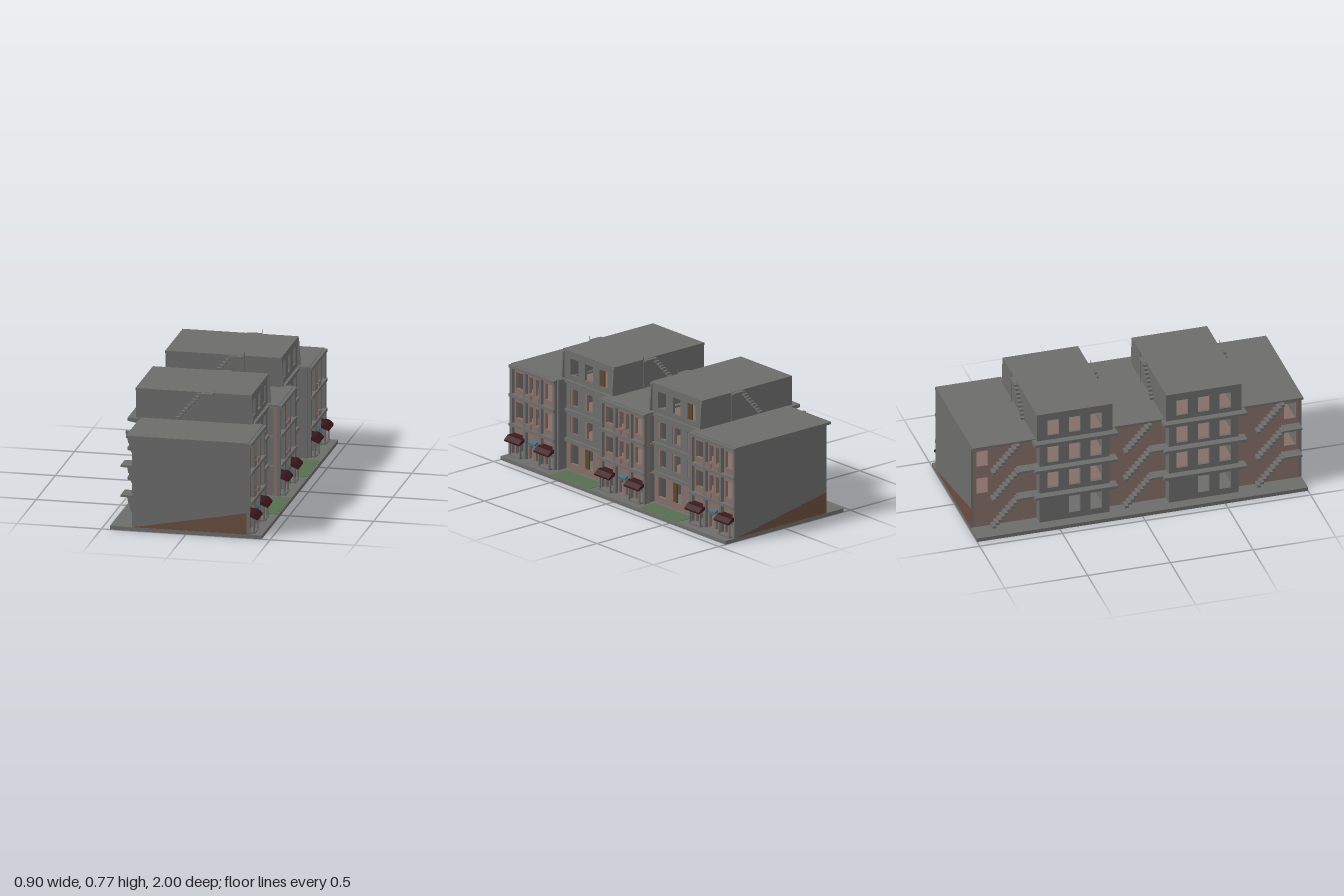
import * as THREE from 'three';

const mat = (color) => new THREE.MeshStandardMaterial({ color, side: THREE.DoubleSide });
const GREY = mat(0x6c6c6b), BROWN = mat(0x846e67), RED = mat(0x3a171c);
const GREEN = mat(0x566f4e), BLUE = mat(0x42687a), OCHRE = mat(0x5c4828), RUST = mat(0x684c3e);

const FLOORS = [0.205, 0.384, 0.56];
const WINGS = [-0.8, 0, 0.8];
const TOWERS = [-0.39, 0.39];

// box given by its limits along each axis
function box(parent, name, x0, x1, y0, y1, z0, z1, m = GREY) {
  const mesh = new THREE.Mesh(new THREE.BoxGeometry(x1 - x0, y1 - y0, z1 - z0), m);
  mesh.position.set((x0 + x1) / 2, (y0 + y1) / 2, (z0 + z1) / 2);
  mesh.name = name;
  parent.add(mesh);
}

// wall in the z-y plane with rectangular openings [z0, z1, y0, y1]; x is its +x face
function wall(parent, name, x, depth, z0, z1, y0, y1, openings, m = GREY) {
  const rect = (T, a, b, c, d) => {
    const p = new T();
    p.moveTo(a, c); p.lineTo(b, c); p.lineTo(b, d); p.lineTo(a, d); p.closePath();
    return p;
  };
  const shape = rect(THREE.Shape, z0, z1, y0, y1);
  for (const o of openings) shape.holes.push(rect(THREE.Path, ...o));
  const geo = new THREE.ExtrudeGeometry(shape, { depth, bevelEnabled: false });
  geo.rotateY(-Math.PI / 2);
  const mesh = new THREE.Mesh(geo, m);
  mesh.position.x = x;
  mesh.name = name;
  parent.add(mesh);
}

// prism with an x-y section, running along z
function prism(parent, name, pts, z0, z1, m = GREY) {
  const shape = new THREE.Shape(pts.map((p) => new THREE.Vector2(...p)));
  const geo = new THREE.ExtrudeGeometry(shape, { depth: z1 - z0, bevelEnabled: false });
  const mesh = new THREE.Mesh(geo, m);
  mesh.position.z = z0;
  mesh.name = name;
  parent.add(mesh);
}

// porch with a sloping canopy on slim posts
function porch(parent, z) {
  const g = new THREE.Group();
  g.name = 'porch';
  prism(g, 'canopy', [[0.36, 0.135], [0.425, 0.11], [0.425, 0.12], [0.4, 0.142], [0.36, 0.152]], z - 0.065, z + 0.065, RED);
  for (const s of [-1, 1]) {
    const p = z + s * 0.045;
    box(g, 'porchPost', 0.393, 0.403, 0.02, 0.125, p - 0.005, p + 0.005);
    prism(g, 'porchBrace', [[0.37, 0.09], [0.4, 0.12], [0.4, 0.13], [0.37, 0.105]], p - 0.004, p + 0.004);
  }
  box(g, 'porchStep', 0.36, 0.405, 0.02, 0.03, z - 0.05, z + 0.05);
  parent.add(g);
}

function wing(zc) {
  const g = new THREE.Group();
  g.name = 'wing';
  const z0 = zc - 0.2, z1 = zc + 0.2;
  // inner parts stop short of the gable walls
  const a = Math.max(z0, -0.985), b = Math.min(z1, 0.985);
  // street wall: three bays per storey
  const holes = [];
  for (const y of [0.02, 0.2, 0.38]) {
    const lo = y < 0.1 ? 0.025 : y + 0.045, hi = y < 0.1 ? 0.11 : y + 0.145;
    for (const [c, w] of [[-0.13, 0.07], [-0.03, 0.035], [0.03, 0.035], [0.13, 0.07]])
      holes.push([zc + c - w / 2, zc + c + w / 2, lo, hi]);
  }
  wall(g, 'streetWall', 0.36, 0.02, a, b, 0.02, 0.56, holes, BROWN);
  // pilasters, storey ledges and balcony fronts
  for (const c of [-0.19, -0.07, 0.07, 0.19])
    box(g, 'pilaster', 0.36, 0.38, 0.02, 0.56, zc + c - 0.01, zc + c + 0.01);
  for (const y of FLOORS) {
    box(g, 'ledge', 0.36, 0.388, y - 0.01, y + 0.008, z0, z1);
    box(g, 'floor', -0.31, 0.35, y - 0.012, y, a, b, BROWN);
  }
  for (const y of [0.213, 0.392]) for (const s of [-1, 1])
    box(g, 'balconyFront', 0.372, 0.38, y, y + 0.03, zc + s * 0.035 - 0.022, zc + s * 0.035 + 0.022, BROWN);
  // ground floor entrances
  for (const s of [-1, 1]) porch(g, zc + s * 0.13);
  prism(g, 'awning', [[0.36, 0.15], [0.385, 0.135], [0.385, 0.125], [0.36, 0.135]], zc - 0.03, zc + 0.03, BLUE);
  // rear wall, with windows in the outer bay of the end wings
  const rear = [];
  if (zc !== 0) for (const y of [0.245, 0.425]) {
    const c = zc + Math.sign(zc) * 0.13;
    rear.push([c - 0.035, c + 0.035, y, y + 0.1]);
  }
  wall(g, 'rearWall', -0.3, 0.02, a, b, 0.02, 0.56, rear, BROWN);
  box(g, 'wingRoof', -0.355, 0.368, 0.558, 0.572, z0, z1);
  // rear stairs, one flight per storey
  for (let f = 0; f < 3; f++) {
    const y0 = 0.02 + f * 0.18;
    for (let i = 0; i < 9; i++) {
      const z = zc - 0.075 + i * 0.018, y = y0 + 0.012 + i * 0.0195;
      box(g, 'rearStep', -0.385, -0.33, y, y + 0.014, z - 0.011, z + 0.011);
    }
    if (f < 2) box(g, 'rearLanding', -0.39, -0.32, FLOORS[f] - 0.008, FLOORS[f] + 0.004, zc + 0.075, b);
  }
  return g;
}

function tower(zc) {
  const g = new THREE.Group();
  g.name = 'tower';
  const a = zc - 0.205, b = zc + 0.205, pa = zc - 0.228, pb = zc + 0.228;
  const bays = (y0, y1, cs) => cs.map((c) => [zc + c - 0.035, zc + c + 0.035, y0, y1]);
  const all = [-0.13, 0, 0.13];
  const upper = [...bays(0.245, 0.35, all), ...bays(0.415, 0.52, all)];
  const ground = bays(0.06, 0.18, [0, 0.13]);
  wall(g, 'towerStreetWall', 0.3, 0.02, a, b, 0.2, 0.57, upper);
  wall(g, 'groundStreetWall', 0.297, 0.017, a, b, 0.02, 0.2, ground, BROWN);
  wall(g, 'towerRearWall', -0.36, 0.02, a, b, 0.02, 0.57, [...ground, ...upper]);
  box(g, 'entranceDoor', 0.285, 0.294, 0.06, 0.18, zc + 0.005, zc + 0.04, OCHRE);
  for (const z of [a, b]) box(g, 'towerSideWall', -0.38, 0.36, 0.02, 0.57, z - 0.006, z + 0.006);
  for (const y of FLOORS) {
    box(g, 'towerFloor', -0.36, 0.29, y - 0.012, y, a, b, BROWN);
    box(g, 'towerLedge', 0.3, 0.315, y - 0.01, y + 0.008, a, b);
    prism(g, 'gallery', [[-0.427, y - 0.007], [-0.36, y - 0.02], [-0.36, y + 0.011], [-0.427, y + 0.011]], zc - 0.25, zc + 0.25);
  }
  // half-drawn shutters
  for (const y of [0.245, 0.415]) for (const c of all)
    box(g, 'shutter', 0.282, 0.298, y, y + 0.1, zc + c + 0.018, zc + c + 0.035, BROWN);

  // set-back top storey
  const top = bays(0.6, 0.7, all);
  wall(g, 'topStreetWall', 0.298, 0.015, pa, pb, 0.57, 0.735, top);
  wall(g, 'topRearWall', -0.368, 0.015, pa, pb, 0.57, 0.735, top);
  box(g, 'topPartition', -0.02, 0, 0.57, 0.735, zc - 0.05, zc + 0.06, BROWN);
  box(g, 'topShutter', 0.284, 0.292, 0.6, 0.7, zc - 0.13, zc - 0.095, OCHRE);
  for (const z of [pa, pb - 0.012]) box(g, 'topSideWall', -0.383, 0.298, 0.57, 0.735, z, z + 0.012);
  box(g, 'topRoof', -0.385, 0.302, 0.733, 0.747, pa, pb);
  for (const [z0, z1] of [[pa, pa + 0.012], [pb - 0.012, pb]])
    prism(g, 'roofFin', [[0.295, 0.747], [0.305, 0.735], [0.316, 0.575], [0.295, 0.575]], z0, z1);
  // stairs and poles at both flanks of the top storey
  for (const s of [-1, 1]) {
    const z = zc + s * 0.239;
    for (let i = 0; i < 9; i++) {
      const x = -0.13 + i * 0.0165, y = 0.583 + i * 0.0185;
      box(g, 'roofStep', x - 0.012, x + 0.012, y, y + 0.012, z - 0.012, z + 0.012);
    }
    box(g, 'stairLanding', 0.01, 0.08, 0.735, 0.745, z - 0.012, z + 0.012);
    box(g, 'pole', 0.086, 0.089, 0.57, 0.77, z - 0.0015, z + 0.0015);
  }
  // lawn in the recess
  box(g, 'lawn', 0.32, 0.44, 0.02, 0.024, zc - 0.17, zc + 0.17, GREEN);
  return g;
}

export function createModel() {
  const model = new THREE.Group();
  model.name = 'apartmentBlock';
  box(model, 'basePlate', -0.45, 0.45, 0, 0.022, -1, 1);
  for (const z of WINGS) model.add(wing(z));
  for (const z of TOWERS) model.add(tower(z));
  // blank gable walls, each with a rust-brown wedge along its foot
  for (const s of [-1, 1]) {
    const z = s * 0.99;
    box(model, 'gableWall', -0.32, 0.361, 0.02, 0.56, z - 0.008, z + 0.008);
    const high = s > 0 ? 0.361 : -0.32;
    const foot = s > 0 ? [[-0.32, 0.022], [0.361, 0.022]] : [[0.361, 0.022], [-0.32, 0.022]];
    prism(model, 'gableFoot', [...foot, [high, 0.15]], s * 0.9975 - 0.0015, s * 0.9975 + 0.0015, RUST);
  }
  return model;
}
